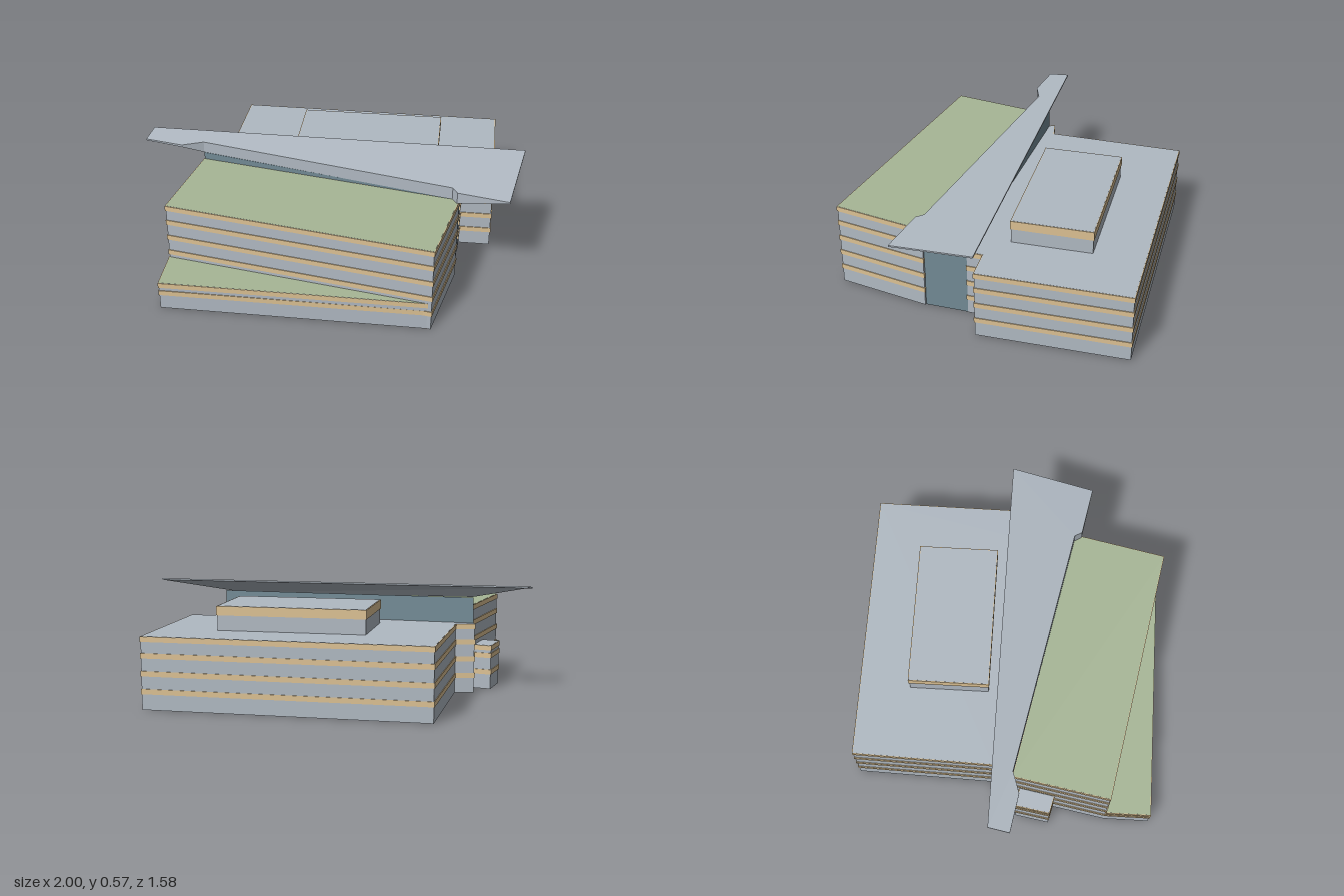
import * as THREE from 'three';

// Shells are open underneath, so both sides show
const mat = (name, color) => {
  const m = new THREE.MeshStandardMaterial({ color, side: THREE.DoubleSide });
  m.name = name;
  return m;
};
const wall = mat('grey blue wall', 0xb0b9c2);
const gold = mat('sandy band', 0xdcc193);
const green = mat('planted roof', 0xa7b696);
const glass = mat('teal glass', 0x728a95);

const BAND = 0.026;   // band height
const LIP = 0.004;    // how far bands stand out

// Corners are [x, z]; returned anticlockwise in the x-z plane
const orient = (pts) => {
  const area = THREE.ShapeUtils.area(pts.map((p) => new THREE.Vector2(p[0], p[1])));
  return area < 0 ? pts.slice().reverse() : pts;
};

// Push every corner of a footprint outwards
function outset(pts, d) {
  const n = pts.length;
  const normal = (a, b) => new THREE.Vector2(b[1] - a[1], a[0] - b[0]).normalize();
  return pts.map((p, i) => {
    const n1 = normal(pts[(i + n - 1) % n], p), n2 = normal(p, pts[(i + 1) % n]);
    const k = d / Math.max(0.3, 1 + n1.dot(n2));
    return [p[0] + (n1.x + n2.x) * k, p[1] + (n1.y + n2.y) * k];
  });
}

function meshFrom(name, triangles, material) {
  const g = new THREE.BufferGeometry();
  g.setAttribute('position', new THREE.Float32BufferAttribute(triangles.flat(), 3));
  g.computeVertexNormals();
  const m = new THREE.Mesh(g, material);
  m.name = name;
  return m;
}

const quad = (a, b, c, d) => [a, b, c, a, c, d];

// Vertical sides, from heights given per corner by lo(p) and hi(p)
function sides(pts, lo, hi) {
  return pts.flatMap((a, i) => {
    const b = pts[(i + 1) % pts.length];
    return quad([a[0], lo(a), a[1]], [a[0], hi(a), a[1]], [b[0], hi(b), b[1]], [b[0], lo(b), b[1]]);
  });
}

// Horizontal or sloping lid over a footprint
function lid(pts, y, up) {
  const faces = THREE.ShapeUtils.triangulateShape(pts.map((p) => new THREE.Vector2(p[0], p[1])), []);
  return faces.flatMap((f) => (up ? [f[2], f[1], f[0]] : f).map((i) => [pts[i][0], y(pts[i]), pts[i][1]]));
}

// Projecting ring around a footprint
function ring(pts, y0, y1) {
  const out = outset(pts, LIP);
  const tri = sides(out, () => y0, () => y1);
  const at = (p, y) => [p[0], y, p[1]];
  pts.forEach((a, i) => {
    const j = (i + 1) % pts.length;
    tri.push(...quad(at(out[i], y1), at(a, y1), at(pts[j], y1), at(out[j], y1)));
    tri.push(...quad(at(out[i], y0), at(out[j], y0), at(pts[j], y0), at(a, y0)));
  });
  return tri;
}

// Storeyed block: open-bottomed walls, roof and bands given as [bottom, top]
function block(name, footprint, y0, y1, roofMaterial, bands) {
  const pts = orient(footprint);
  const g = new THREE.Group();
  g.name = name;
  g.add(meshFrom(name + 'Walls', sides(pts, () => y0, () => y1), wall));
  g.add(meshFrom(name + 'Roof', lid(pts, () => y1, true), roofMaterial));
  g.add(meshFrom(name + 'Bands', bands.flatMap(([a, b]) => ring(pts, a, b)), gold));
  return g;
}

// Solid whose corners are [x, z, bottom, top], with or without an underside
function solid(name, corners, material, closed) {
  const pts = orient(corners);
  const lo = (p) => p[2], hi = (p) => p[3];
  const underside = closed ? lid(pts, lo, false) : [];
  return meshFrom(name, [...sides(pts, lo, hi), ...lid(pts, hi, true), ...underside], material);
}

const floors = (...tops) => tops.map((t) => [t - BAND, t]);

export function createModel() {
  const model = new THREE.Group();
  model.name = 'officeBuilding';

  // Front wing with planted roof
  model.add(block('frontWing',
    [[-0.78, 0.54], [0.57, 0.787], [0.67, 0.308], [-0.69, 0.045]],
    0, 0.455, green, floors(0.105, 0.194, 0.283, 0.372, 0.454)));

  // Low wedge in front of it, running out at the corner
  model.add(block('podium',
    [[-0.78, 0.54], [-0.78, 0.773], [0.55, 0.7835]],
    0, 0.15, green, floors(0.105, 0.149)));

  // Rear wing, stepping towards the atrium at both ends
  model.add(block('rearWing',
    [[-0.592, -0.788], [0.848, -0.778], [0.844, -0.005], [0.68, -0.005], [0.676, 0.08],
      [-0.7, -0.015], [-0.71, -0.045], [-0.612, -0.062]],
    0, 0.366, wall, floors(0.105, 0.194, 0.283, 0.365)));

  // Rooftop plant room
  model.add(block('plantRoom',
    [[-0.22, -0.521], [0.538, -0.521], [0.538, -0.109], [-0.22, -0.109]],
    0.366, 0.49, wall, [[0.443, 0.489]]));

  // Small annex on the side
  model.add(block('sideAnnex',
    [[-0.818, 0.24], [-0.725, 0.262], [-0.695, 0.085], [-0.788, 0.065]],
    0, 0.235, wall, [[0.079, 0.105], [0.168, 0.194], [0.209, 0.234]]));

  // Glazed atrium wedge between the wings
  model.add(solid('atrium',
    [[-0.69, 0.042, 0, 0.492], [0.664, 0.304, 0, 0.455], [0.673, 0.078, 0, 0.495], [-0.7, -0.017, 0, 0.5]],
    glass, false));

  // Tilted canopy, notched around the front wing and deepest along the notch
  const top = (z) => 0.57 - 0.133 * (z + 0.06);
  const canopy = [
    [-1, 0.048, 0.008], [-0.8, 0.083, 0.012], [-0.69, 0.046, 0.06], [0.635, 0.303, 0.064],
    [0.66, 0.342, 0.06], [0.92, 0.39, 0.008], [0.997, -0.048, 0.008], [-0.982, -0.062, 0.008],
  ].map(([x, z, depth]) => [x, z, top(z) - depth, top(z)]);
  model.add(solid('canopy', canopy, wall, true));

  return model;
}
